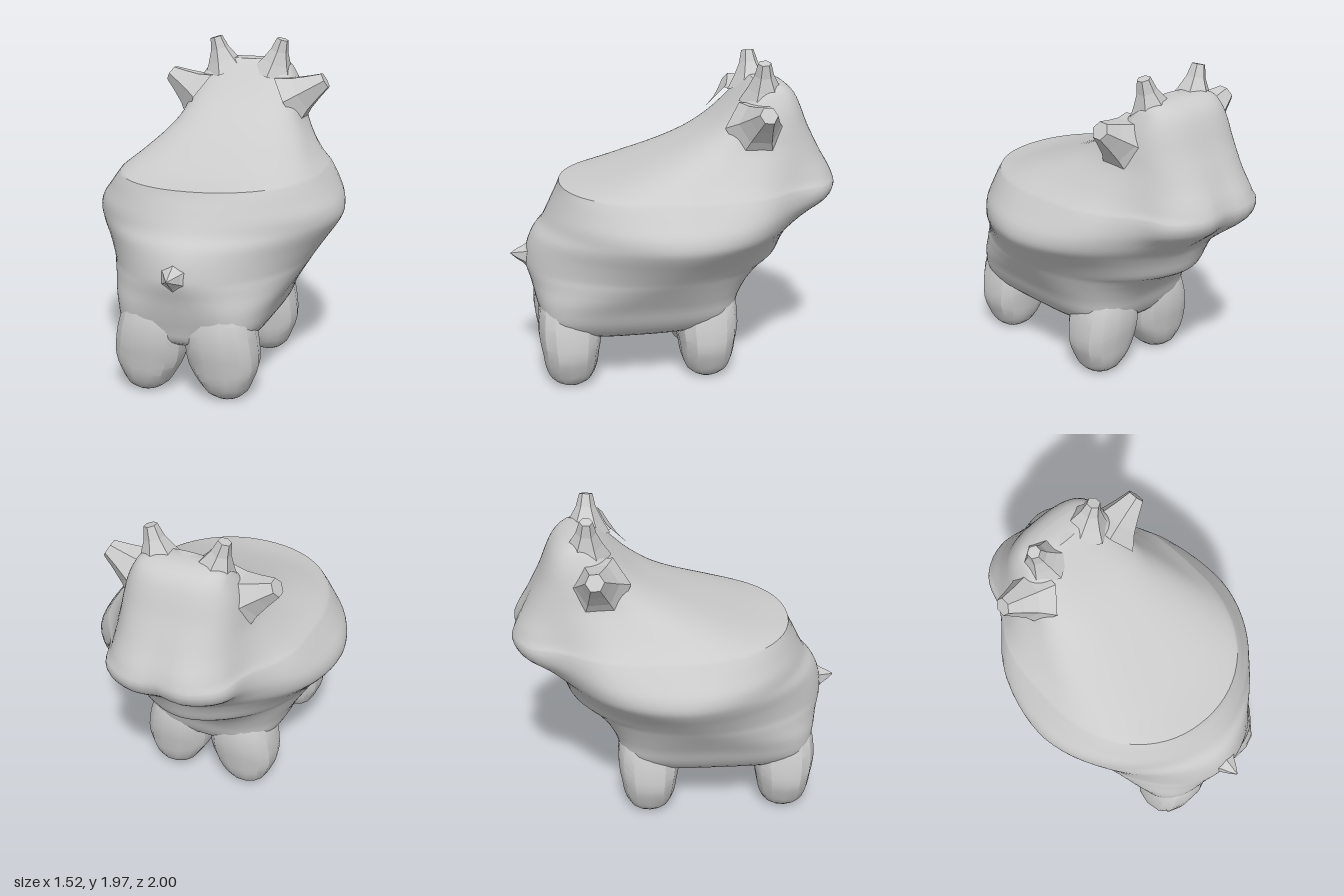
import * as THREE from 'three';
import { toCreasedNormals } from 'three/addons/utils/BufferGeometryUtils.js';

const smooth = new THREE.MeshStandardMaterial({ color: 0xcccccc });
const faceted = new THREE.MeshStandardMaterial({ color: 0xcccccc, flatShading: true });

const catmull = (a, b, c, d, t) =>
  0.5 * (2 * b + (c - a) * t + (2 * a - 5 * b + 4 * c - d) * t * t + (3 * b - a - 3 * c + d) * t * t * t);

// Insert in-between rows along a spline
function refine(rows, steps) {
  const at = (i) => rows[Math.min(Math.max(i, 0), rows.length - 1)];
  const out = [];
  for (let i = 0; i < rows.length - 1; i++)
    for (let s = 0; s < steps; s++)
      out.push(at(i).map((v, k) => catmull(at(i - 1)[k], v, at(i + 1)[k], at(i + 2)[k], s / steps)));
  out.push(at(rows.length - 1));
  return out;
}

// Stack of horizontal superellipse sections.
// Row: y, half width, z of widest point, rear z, head-side z, rear power, head-side power
function loft(rows, sides, crease, adjust) {
  const pos = [], index = [];
  const ring = ([y, hw, zc, zb, zf, nb, nf], scale) => {
    for (let i = 0; i < sides; i++) {
      const a = (i / sides) * Math.PI * 2, c = Math.cos(a), s = Math.sin(a);
      const n = s > 0 ? nb : nf, reach = s > 0 ? zb - zc : zc - zf;
      const mid = (zb + zf) / 2;
      const x = hw * Math.sign(c) * Math.abs(c) ** (2 / n);
      const z = zc + reach * Math.sign(s) * Math.abs(s) ** (2 / n);
      const p = new THREE.Vector3(x * scale, y, mid + (z - mid) * scale);
      adjust(p);
      pos.push(p.x, p.y, p.z);
    }
  };
  ring(rows[0], 0);
  rows.forEach((r) => ring(r, 1));
  ring(rows[rows.length - 1], 0);
  for (let j = 0; j < rows.length + 1; j++)
    for (let i = 0; i < sides; i++) {
      const k = (i + 1) % sides, a = j * sides + i, b = j * sides + k;
      index.push(a, a + sides, b, b, a + sides, b + sides);
    }
  const g = new THREE.BufferGeometry();
  g.setAttribute('position', new THREE.Float32BufferAttribute(pos, 3));
  g.setIndex(index);
  return toCreasedNormals(g, crease);
}

// Six-sided tapering stub along the line from one point to another
function stub(name, from, to, radii) {
  const a = new THREE.Vector3(...from), dir = new THREE.Vector3(...to).sub(a), len = dir.length();
  const pts = radii.map((r, i) => new THREE.Vector2(r, (len * i) / (radii.length - 1)));
  pts.push(new THREE.Vector2(0, len));
  const m = new THREE.Mesh(new THREE.LatheGeometry(pts, 6), faceted);
  m.name = name;
  m.position.copy(a);
  m.quaternion.setFromUnitVectors(new THREE.Vector3(0, 1, 0), dir.normalize());
  return m;
}

export function createModel() {
  const model = new THREE.Group();
  model.name = 'hornedAnimal';

  // Belly, flanks and jaw, up to the sharp rim of the back
  const lower = [
    [0.25, 0.12, 0.25, 0.60, -0.06, 2.5, 2.5],
    [0.28, 0.25, 0.25, 0.68, -0.16, 3, 3],
    [0.34, 0.37, 0.25, 0.80, -0.31, 4, 3.6],
    [0.42, 0.435, 0.23, 0.83, -0.37, 4.6, 4],
    [0.52, 0.48, 0.20, 0.86, -0.41, 3.6, 3.2],
    [0.62, 0.54, 0.17, 0.885, -0.48, 2.5, 2.5],
    [0.70, 0.59, 0.13, 0.91, -0.58, 2, 2],
    [0.75, 0.62, 0.10, 0.915, -0.67, 1.85, 1.8],
    [0.84, 0.68, 0.06, 0.90, -0.71, 1.75, 1.8],
    [0.92, 0.735, 0.03, 0.865, -0.75, 1.75, 1.9],
    [0.98, 0.76, 0.02, 0.81, -0.81, 1.8, 2],
    [1.05, 0.745, 0.02, 0.77, -0.90, 1.9, 2.1],
    [1.12, 0.695, 0.01, 0.735, -0.985, 2, 2.3],
    [1.18, 0.65, 0.00, 0.705, -1.015, 2.1, 2.45],
    [1.22, 0.62, 0.00, 0.69, -1.015, 2.1, 2.5],
  ];
  // Sloping back, neck and head
  const upper = [
    [1.22, 0.62, 0.00, 0.69, -1.015, 2.1, 2.5],
    [1.25, 0.585, -0.03, 0.52, -1.005, 2.5, 2.5],
    [1.30, 0.53, -0.12, 0.35, -0.98, 2.8, 2.6],
    [1.38, 0.46, -0.28, 0.13, -0.93, 2.8, 2.7],
    [1.47, 0.40, -0.42, -0.07, -0.88, 2.8, 2.8],
    [1.57, 0.365, -0.49, -0.235, -0.83, 2.8, 2.8],
    [1.67, 0.33, -0.54, -0.35, -0.79, 2.8, 2.8],
    [1.75, 0.29, -0.57, -0.43, -0.75, 2.8, 2.8],
    [1.80, 0.25, -0.59, -0.48, -0.70, 2.6, 2.6],
    [1.825, 0.17, -0.59, -0.51, -0.64, 2.4, 2.4],
  ];
  // Narrow the cheeks behind the muzzle and groove the nose between its two lobes
  const shapeHead = (p) => {
    p.x *= 1 - 0.19 * Math.exp(-(((p.z + 0.71) / 0.18) ** 2) - ((p.y - 1.1) / 0.28) ** 2);
    if (p.z < -0.6) p.z += 0.045 * Math.exp(-((p.x / 0.09) ** 2) - ((p.y - 1.18) / 0.2) ** 2);
  };
  const rows = [...refine(lower, 3), ...refine(upper, 3).slice(1)];
  const body = new THREE.Mesh(loft(rows, 72, 0.6, shapeHead), smooth);
  body.name = 'bodyAndHead';
  model.add(body);

  // Stubby legs, leaning inward and meeting under the belly
  const leanIn = (p) => { p.x += 0.25 - 0.1 * p.y; };
  const legGeometry = loft(refine([
    [0.00, 0.07, 0, 0.07, -0.07, 2, 2],
    [0.04, 0.125, 0, 0.125, -0.125, 2.2, 2.2],
    [0.12, 0.17, 0, 0.16, -0.16, 2.4, 2.4],
    [0.21, 0.21, 0, 0.175, -0.175, 2.4, 2.4],
    [0.33, 0.215, 0, 0.195, -0.195, 2.4, 2.4],
    [0.48, 0.195, 0, 0.185, -0.185, 2.4, 2.4],
    [0.64, 0.13, 0, 0.13, -0.13, 2.2, 2.2],
  ], 2), 14, 0.5, leanIn);
  for (const [end, z] of [['front', -0.19], ['rear', 0.665]])
    for (const [side, s] of [['Left', 1], ['Right', -1]]) {
      const leg = new THREE.Mesh(legGeometry, smooth);
      leg.name = end + side + 'Leg';
      leg.position.z = z;
      leg.scale.x = s;
      model.add(leg);
    }

  // Ears and horns, mirrored
  for (const [side, s] of [['left', 1], ['right', -1]]) {
    model.add(stub(side + 'Ear', [0.29 * s, 1.575, -0.47], [0.52 * s, 1.71, -0.49], [0.19, 0.13, 0.09, 0.055]));
    model.add(stub(side + 'Horn', [0.16 * s, 1.73, -0.54], [0.225 * s, 1.955, -0.53], [0.15, 0.1, 0.06, 0.04]));
  }

  // Short pointed tail
  model.add(stub('tail', [0, 0.765, 0.88], [0, 0.775, 1.0], [0.10, 0.06, 0.035, 0.004]));

  return model;
}
